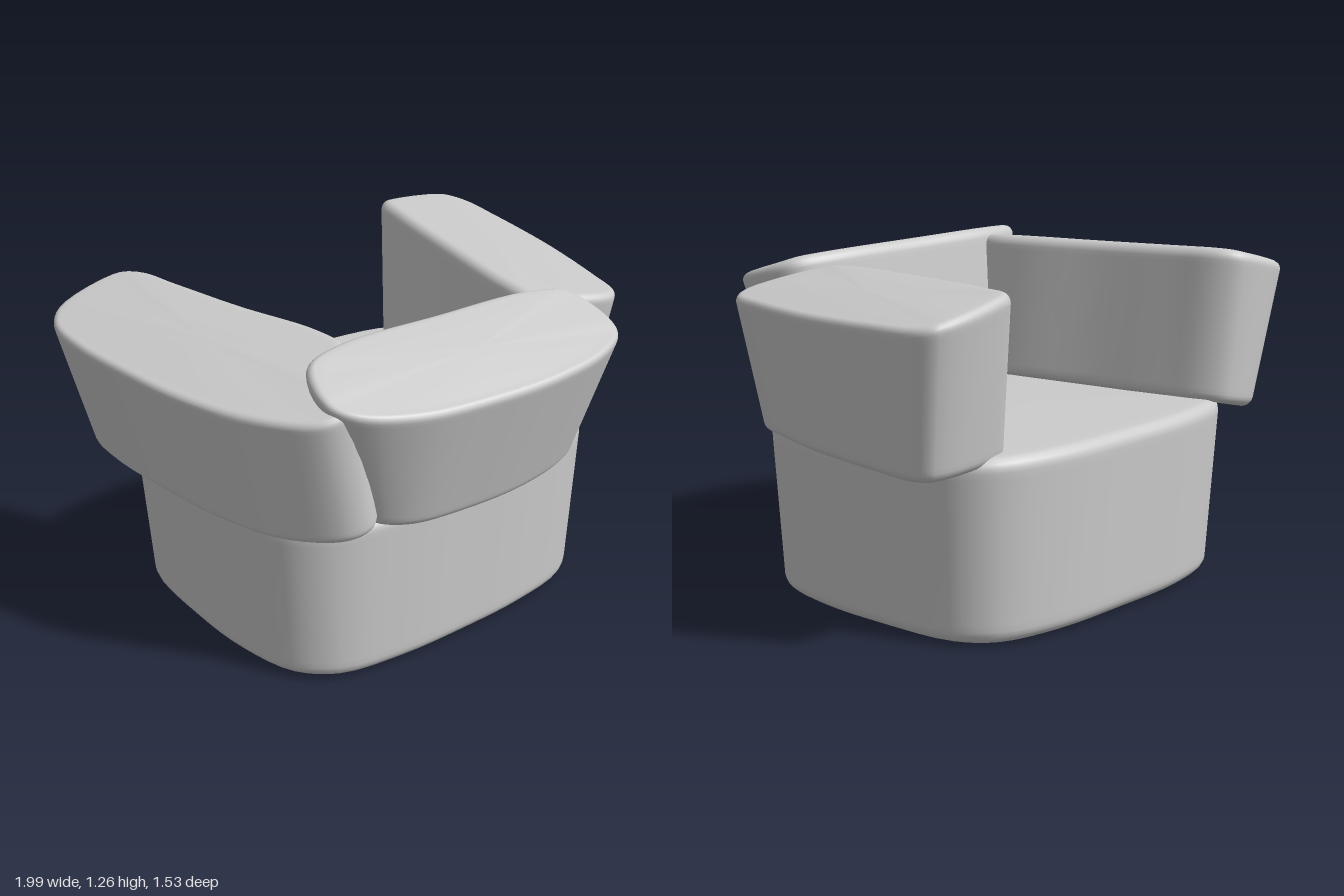
import * as THREE from 'three';

const SEGMENTS = 72;
const material = new THREE.MeshStandardMaterial({ color: 0xcccccc, side: THREE.DoubleSide });

// Smooth closed outline through [x, z] points, lying on the plane y = c + ax * x + az * z.
// Points run from +x towards +z; each sample also gets its outward direction.
function outline(points, [c, ax, az]) {
  const curve = new THREE.CatmullRomCurve3(
    points.map(([x, z]) => new THREE.Vector3(x, c + ax * x + az * z, z)), true, 'centripetal');
  return Array.from({ length: SEGMENTS }, (_, i) => {
    const t = curve.getTangent(i / SEGMENTS);
    return { p: curve.getPoint(i / SEGMENTS), n: new THREE.Vector3(t.z, 0, -t.x).normalize() };
  });
}

// Padded block lofted between two outlines, with rounded rims and softly domed faces.
function pad(name, bottom, top, radius, dome) {
  const mean = o => o.reduce((s, q) => s.add(q.p), new THREE.Vector3()).divideScalar(SEGMENTS);
  const cBottom = mean(bottom), cTop = mean(top);
  const f = radius / (cTop.y - cBottom.y);

  // Rings: height fraction, inset, and scale towards the centre of the face
  const rings = [];
  for (const s of [0.001, 0.5, 0.93]) rings.push([0, radius, s]);
  for (let k = 0; k <= 5; k++) {
    const a = k / 5 * Math.PI / 2;
    rings.push([f * (1 - Math.cos(a)), radius * (1 - Math.sin(a)), 1]);
  }
  rings.push([f * 1.5, 0, 1]);
  const upper = rings.map(([t, inset, s]) => [1 - t, inset, s]).reverse();
  rings.push([0.5, 0, 1], ...upper);

  const positions = [], index = [];
  for (const [t, inset, s] of rings) {
    const centre = t < 0.5 ? cBottom : cTop;
    const lift = (t < 0.5 ? -0.2 : 1) * dome * (1 - s * s);
    for (let i = 0; i < SEGMENTS; i++) {
      const p = bottom[i].p.clone().lerp(top[i].p, t);
      const n = bottom[i].n.clone().lerp(top[i].n, t).normalize();
      p.addScaledVector(n, -inset);
      if (s < 1) p.sub(centre).multiplyScalar(s).add(centre);
      positions.push(p.x, p.y + lift, p.z);
    }
  }
  for (let j = 0; j < rings.length - 1; j++) {
    for (let i = 0; i < SEGMENTS; i++) {
      const a = j * SEGMENTS + i, b = j * SEGMENTS + (i + 1) % SEGMENTS;
      index.push(a, a + SEGMENTS, b, b, a + SEGMENTS, b + SEGMENTS);
    }
  }
  const geometry = new THREE.BufferGeometry();
  geometry.setAttribute('position', new THREE.Float32BufferAttribute(positions, 3));
  geometry.setIndex(index);
  geometry.computeVertexNormals();
  const mesh = new THREE.Mesh(geometry, material);
  mesh.name = name;
  return mesh;
}

export function createModel() {
  const group = new THREE.Group();
  group.name = 'armchair';

  // Seat base: symmetric rounded block, narrower at the floor
  const half = [[0.35, -0.76], [0.62, -0.69], [0.74, -0.55], [0.785, -0.2],
    [0.78, 0.1], [0.72, 0.34], [0.58, 0.47], [0.3, 0.525]];
  const plan = [[0, -0.77], ...half, [0, 0.535], ...half.map(([x, z]) => [-x, z]).reverse()];
  group.add(pad('seatBase',
    outline(plan.map(([x, z]) => [x * 0.94, z * 0.965]), [0.005, 0, 0]),
    outline(plan, [0.665, 0, -0.02]), 0.05, 0.015));

  // Backrest: leans outwards
  group.add(pad('backrest',
    outline([[0.5, 0.42], [0.48, 0.53], [0.38, 0.58], [0.15, 0.615], [-0.1, 0.61], [-0.33, 0.575],
      [-0.44, 0.5], [-0.46, 0.4], [-0.42, 0.26], [-0.3, 0.21], [0, 0.225], [0.3, 0.25], [0.45, 0.3]],
    [0.745, 0, -0.22]),
    outline([[0.605, 0.53], [0.585, 0.66], [0.46, 0.73], [0.2, 0.765], [-0.1, 0.755], [-0.4, 0.71],
      [-0.6, 0.62], [-0.665, 0.52], [-0.6, 0.34], [-0.42, 0.29], [0, 0.31], [0.4, 0.34], [0.56, 0.4]],
    [1.345, 0, -0.29]), 0.035, 0.01));

  // Left armrest: straight inner face, gently bowed outer face
  group.add(pad('leftArmrest',
    outline([[0.87, -0.63], [0.915, -0.56], [0.905, -0.35], [0.87, -0.05], [0.81, 0.2], [0.77, 0.32],
      [0.7, 0.355], [0.5, 0.33], [0.42, 0.29], [0.405, 0.2], [0.44, -0.15], [0.49, -0.5],
      [0.52, -0.61], [0.59, -0.64]],
    [0.665, -0.04, 0]),
    outline([[0.94, -0.725], [0.995, -0.64], [0.995, -0.45], [0.965, -0.1], [0.9, 0.22], [0.85, 0.38],
      [0.77, 0.425], [0.54, 0.375], [0.45, 0.31], [0.43, 0.2], [0.48, -0.2], [0.545, -0.58],
      [0.58, -0.7], [0.66, -0.73]],
    [1.295, -0.16, -0.05]), 0.035, 0.01));

  // Right armrest: longer, curving round behind the backrest
  group.add(pad('rightArmrest',
    outline([[-0.55, -0.66], [-0.5, -0.5], [-0.43, -0.2], [-0.34, 0.12], [-0.33, 0.28], [-0.4, 0.48],
      [-0.48, 0.56], [-0.58, 0.54], [-0.72, 0.36], [-0.8, 0.1], [-0.84, -0.2], [-0.86, -0.5],
      [-0.84, -0.66], [-0.77, -0.73], [-0.62, -0.73]],
    [0.76, 0.2, -0.03]),
    outline([[-0.585, -0.68], [-0.54, -0.5], [-0.47, -0.2], [-0.38, 0.12], [-0.37, 0.28], [-0.46, 0.46],
      [-0.57, 0.57], [-0.69, 0.55], [-0.83, 0.34], [-0.925, 0.05], [-0.975, -0.25], [-1.0, -0.5],
      [-0.985, -0.67], [-0.91, -0.755], [-0.66, -0.76]],
    [1.345, 0.24, -0.07]), 0.035, 0.01));

  return group;
}
